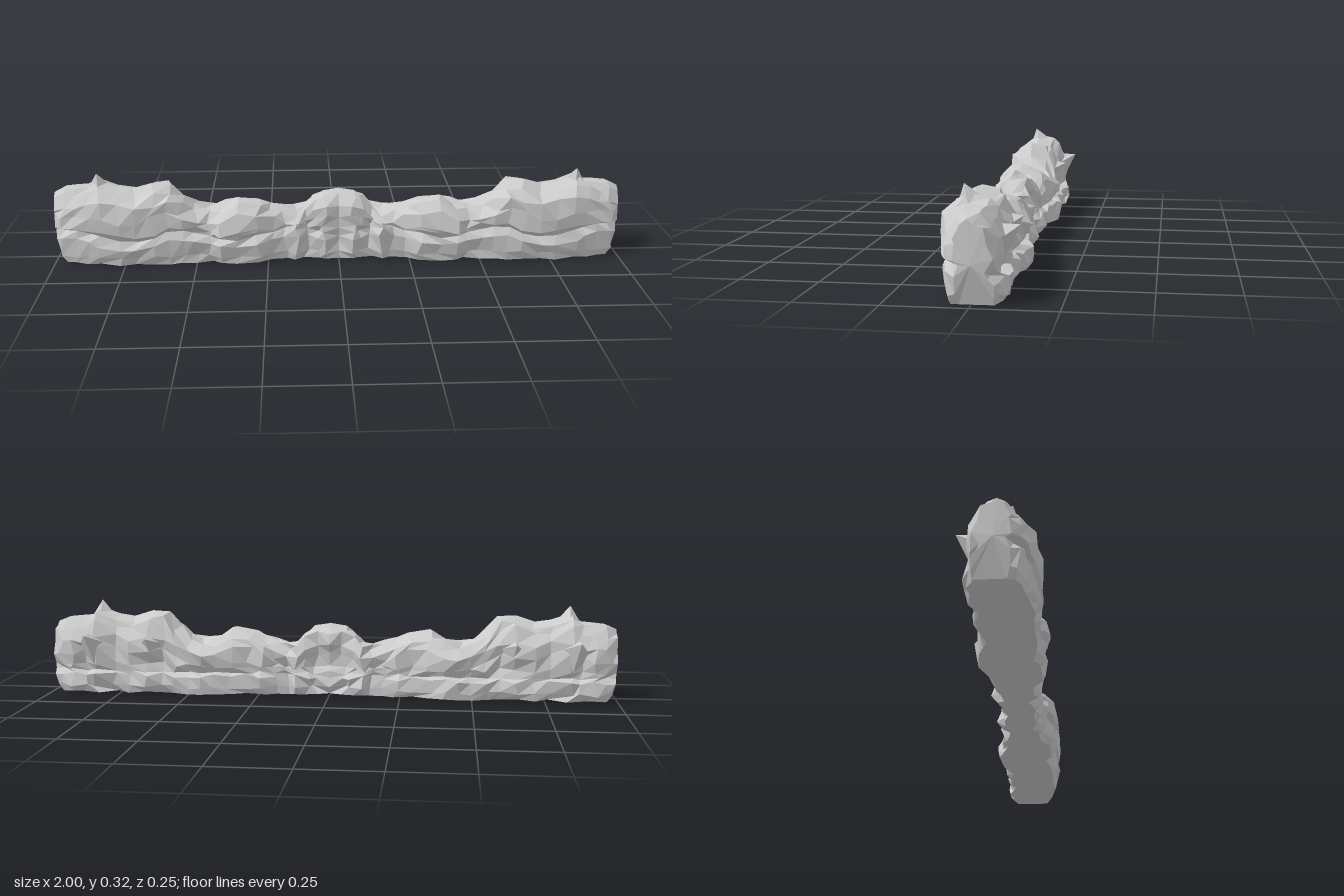
import * as THREE from 'three';

// Half of the wall as stations: distance from the middle, top height, front z, back z
const STATIONS = [
  [0.0, 0.255, 0.06, -0.05], [0.05, 0.245, 0.083, -0.045], [0.08, 0.225, 0.07, -0.06], [0.115, 0.185, 0.06, -0.075],
  [0.15, 0.178, 0.1, -0.045], [0.19, 0.19, 0.075, -0.06], [0.235, 0.2, 0.085, -0.07], [0.285, 0.22, 0.115, -0.075],
  [0.35, 0.228, 0.122, -0.085], [0.41, 0.2, 0.122, -0.1], [0.455, 0.19, 0.1, -0.1],
  [0.5, 0.2, 0.1, -0.09], [0.55, 0.235, 0.108, -0.085], [0.595, 0.285, 0.115, -0.072], [0.65, 0.288, 0.122, -0.09],
  [0.71, 0.266, 0.123, -0.08], [0.77, 0.272, 0.12, -0.075], [0.835, 0.295, 0.11, -0.09],
  [0.875, 0.268, 0.096, -0.085], [0.925, 0.262, 0.084, -0.088], [0.965, 0.258, 0.068, -0.08], [0.995, 0.245, 0.042, -0.065],
];

// Cross-section, front foot over the top to back foot:
// z as a share of front (+) or back (-) depth, y fixed (low courses) or as a share of height
const SECTION = [
  [0.8, 0.005, 0], [0.87, 0.032, 0], [0.95, 0.08, 0], [0.84, 0.105, 0], [0.96, 0.125, 0],
  [1.0, 0, 0.65], [0.93, 0, 0.79], [0.62, 0, 0.93], [0.28, 0, 1.0],
  [-0.3, 0, 0.96], [-0.65, 0, 0.89], [-0.88, 0, 0.72], [-0.87, 0, 0.56], [-0.78, 0.105, 0],
  [-0.78, 0.082, 0], [-1.0, 0.07, 0], [-1.0, 0.028, 0], [-0.9, 0.005, 0],
];
const GROOVE = 3;

// Repeatable jitter in -1..1
function jitter(i, j, k) {
  const s = Math.sin(i * 127.1 + j * 311.7 + k * 74.7) * 43758.5453;
  return (s - Math.floor(s)) * 2 - 1;
}

function sectionPoint(n, j) {
  const [d, h, f, b] = STATIONS[n];
  const [zs, yFix, yShare] = SECTION[j];
  const foot = j === 0 || j === SECTION.length - 1;
  const last = n === STATIONS.length - 1;
  const back = zs < 0;
  let x = d;
  if (n > 0 && !last) x += jitter(n, j, 1) * 0.013;
  if (last) x -= foot ? 0.03 : Math.max(0, 0.09 - yFix - yShare * h) * 0.25;
  // The front groove fades out around the middle
  const share = j === GROOVE && d < 0.22 ? 0.95 : zs;
  const z = share * (back ? -b : f) + jitter(n, j, 2) * (back ? 0.013 : 0.008);
  let y = yFix + yShare * h;
  if (foot) y = 0.004 + jitter(n, j, 3) * 0.003;
  else if (yShare === 1) y += jitter(n, j, 3) * 0.004;
  else y += jitter(n, j, 3) * (yShare ? 0.014 : 0.008);
  // Front courses rise and fall along the wall
  if (j >= 2 && j <= 5) y += 0.014 * Math.cos((d - 0.55) * 16);
  return [x, y, z];
}

// Loft the sections from one end to the other, mirrored about the middle
function rockWall() {
  const half = STATIONS.length - 1;
  const m = SECTION.length;
  const pos = [];
  const index = [];
  for (let i = -half; i <= half; i++) {
    for (let j = 0; j < m; j++) {
      const [x, y, z] = sectionPoint(Math.abs(i), j);
      pos.push(Math.sign(i) * x, y, z);
    }
  }
  for (let i = 0; i < half * 2; i++) {
    for (let j = 0; j < m; j++) {
      const k = (j + 1) % m;
      const a = i * m + j, b = i * m + k, c = b + m, d = a + m;
      // diagonals mirror too
      if (i < half) index.push(a, d, c, a, c, b);
      else index.push(a, d, b, d, c, b);
    }
  }
  // End faces
  for (const side of [-1, 1]) {
    const centre = pos.length / 3;
    pos.push(side, 0.12, -0.005);
    const ring = side < 0 ? 0 : half * 2 * m;
    for (let j = 0; j < m; j++) {
      const a = ring + j, b = ring + ((j + 1) % m);
      if (side > 0) index.push(centre, b, a);
      else index.push(centre, a, b);
    }
  }
  const geo = new THREE.BufferGeometry();
  geo.setAttribute('position', new THREE.Float32BufferAttribute(pos, 3));
  geo.setIndex(index);
  geo.computeVertexNormals();
  return geo;
}

// Jagged shard: a four-sided spike from base to tip
function shard(radius, base, tip) {
  const from = new THREE.Vector3(...base);
  const dir = new THREE.Vector3(...tip).sub(from);
  const geo = new THREE.ConeGeometry(radius, dir.length(), 4);
  geo.translate(0, dir.length() / 2, 0);
  geo.applyQuaternion(new THREE.Quaternion().setFromUnitVectors(new THREE.Vector3(0, 1, 0), dir.normalize()));
  geo.translate(from.x, from.y, from.z);
  return geo;
}

export function createModel() {
  const group = new THREE.Group();
  group.name = 'rockWall';
  const material = new THREE.MeshStandardMaterial({ color: 0xcccccc, flatShading: true });

  const add = (geo, name) => {
    const mesh = new THREE.Mesh(geo, material);
    mesh.name = name;
    group.add(mesh);
  };
  add(rockWall(), 'wallBody');

  // Peaks and rear spurs on both wings
  for (const s of [-1, 1]) {
    const side = s < 0 ? 'Right' : 'Left';
    add(shard(0.07, [s * 0.83, 0.23, 0.01], [s * 0.84, 0.322, 0.04]), 'topPeak' + side);
    add(shard(0.065, [s * 0.85, 0.16, -0.04], [s * 0.865, 0.212, -0.125]), 'rearSpur' + side);
    add(shard(0.05, [s * 0.64, 0.17, -0.045], [s * 0.65, 0.2, -0.105]), 'rearKnob' + side);
  }
  return group;
}
